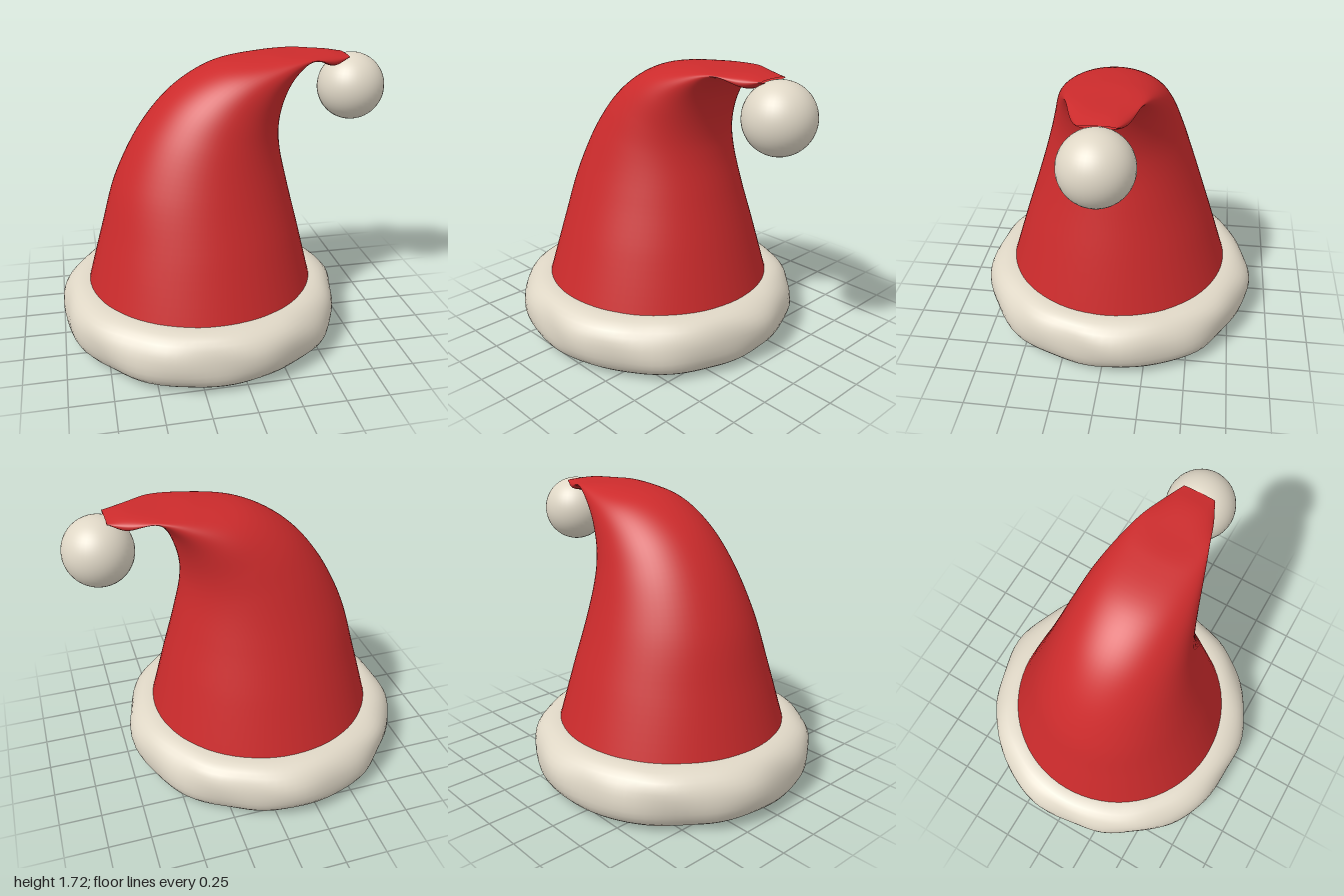
import * as THREE from 'three';

const CX = -0.14, CZ = -0.015;

// Closed-around surface from a function (u along, v around) -> [x, y, z]
function loft(rows, cols, point, closeRows) {
  const pos = [], idx = [];
  const rowCount = closeRows ? rows : rows + 1;
  for (let i = 0; i < rowCount; i++)
    for (let j = 0; j < cols; j++) pos.push(...point(i / rows, j / cols));
  for (let i = 0; i < rows; i++)
    for (let j = 0; j < cols; j++) {
      const i2 = (i + 1) % rowCount, j2 = (j + 1) % cols;
      const a = i * cols + j, b = i * cols + j2, c = i2 * cols + j2, d = i2 * cols + j;
      idx.push(a, c, b, a, d, c);
    }
  const g = new THREE.BufferGeometry();
  g.setAttribute('position', new THREE.Float32BufferAttribute(pos, 3));
  g.setIndex(idx);
  g.computeVertexNormals();
  return g;
}

// Power that keeps the sign, used to square off ellipses
const spow = (v, p) => Math.sign(v) * Math.pow(Math.abs(v), p);

export function createModel() {
  const group = new THREE.Group();
  const red = new THREE.MeshStandardMaterial({ color: 0xcc2b2c, side: THREE.DoubleSide });
  red.name = 'red felt';
  const cream = new THREE.MeshStandardMaterial({ color: 0xdfd7c6 });
  cream.name = 'cream fleece';
  const add = (name, geo, mat) => {
    const m = new THREE.Mesh(geo, mat);
    m.name = name;
    group.add(m);
    return m;
  };

  // Cone sections: back edge x, y, inner edge x, y, half width
  const sections = [
    [-0.835, 0.31, 0.56, 0.31, 0.696],
    [-0.735, 0.68, 0.468, 0.68, 0.582],
    [-0.635, 1.02, 0.395, 0.965, 0.482],
    [-0.47, 1.33, 0.348, 1.18, 0.402],
    [-0.28, 1.54, 0.34, 1.31, 0.352],
    [-0.04, 1.675, 0.365, 1.45, 0.307],
    [0.25, 1.718, 0.43, 1.6, 0.25],
    [0.45, 1.718, 0.52, 1.685, 0.2],
    [0.64, 1.718, 0.65, 1.64, 0.145],
    [0.745, 1.7, 0.745, 1.685, 0.095],
  ];
  const back = new THREE.CatmullRomCurve3(sections.map(s => new THREE.Vector3(s[0], s[1], s[4])));
  const inner = new THREE.CatmullRomCurve3(sections.map(s => new THREE.Vector3(s[2], s[3], 0)));
  add('bentCone', loft(70, 72, (u, v) => {
    const a = back.getPoint(u), b = inner.getPoint(u), t = v * Math.PI * 2;
    const p = 1 - 0.12 * THREE.MathUtils.smoothstep(u, 0.55, 0.8);
    const c = spow(Math.cos(t), p) / 2, s = spow(Math.sin(t), p);
    return [
      (a.x + b.x) / 2 + (b.x - a.x) * c,
      (a.y + b.y) / 2 + (b.y - a.y) * c,
      CZ + a.z * s,
    ];
  }), red);

  // Lumpy fleece brim: a ring with a slightly squared, uneven section
  add('brim', loft(96, 32, (u, v) => {
    const a = u * Math.PI * 2, t = v * Math.PI * 2;
    const lump = 0.007 * Math.sin(5 * a + 2 * t) + 0.006 * Math.sin(9 * a - t + 1)
      + 0.004 * Math.sin(13 * a + 3 * t);
    const r = 0.685 + (0.17 + lump) * spow(Math.cos(t), 0.9);
    const y = 0.178 + 0.176 * spow(Math.sin(t), 0.9) * (1 - Math.abs(lump) * 0.8);
    return [CX + r * Math.cos(a), y, CZ - r * Math.sin(a)];
  }, true), cream);

  // Pompom at the tip
  add('pompom', new THREE.SphereGeometry(0.2, 40, 28), cream).position.set(0.795, 1.5, CZ);

  return group;
}
